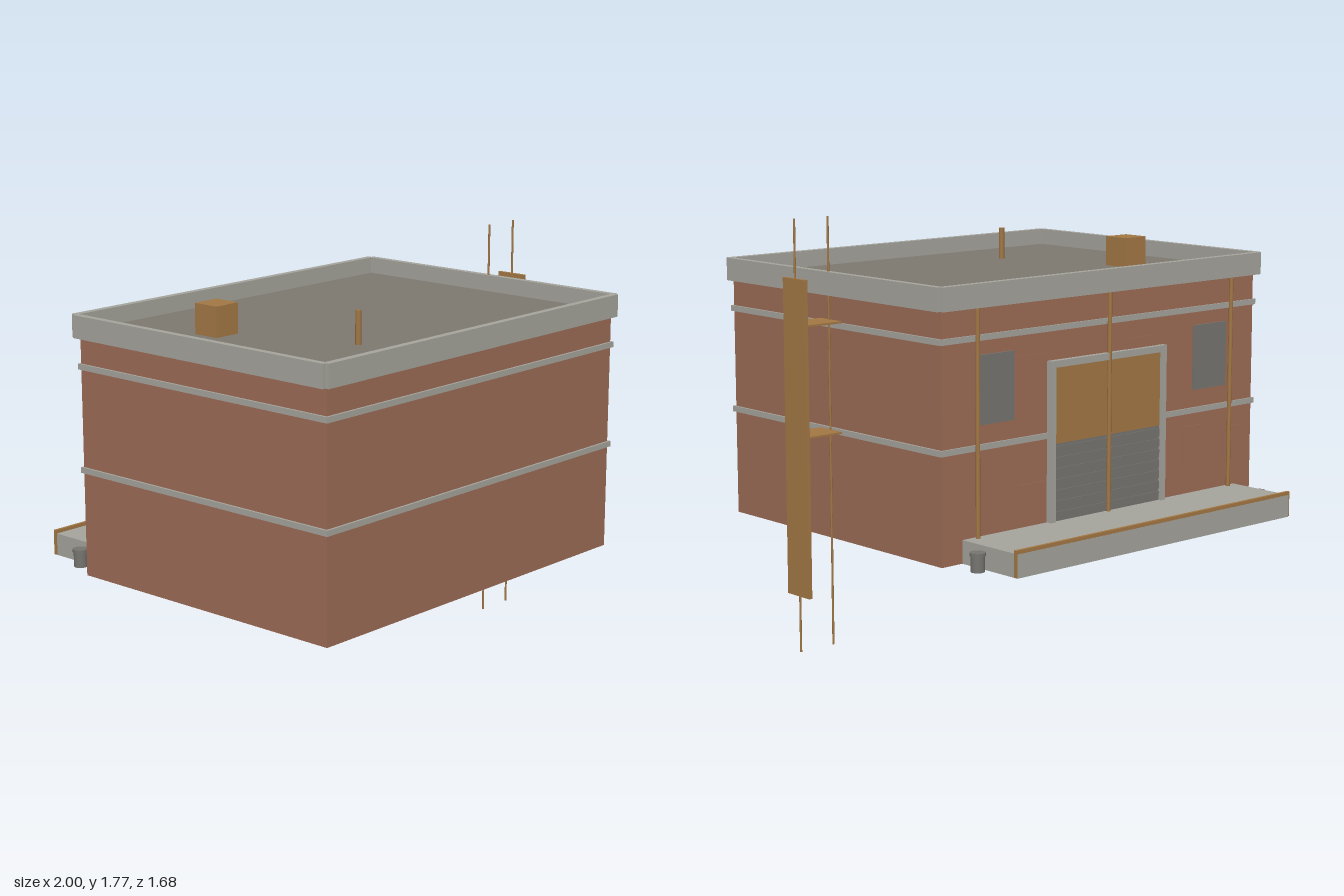
import * as THREE from 'three';

export function createModel() {
  const model = new THREE.Group();
  const mat = (name, color) => {
    const m = new THREE.MeshStandardMaterial({ color });
    m.name = name;
    return m;
  };
  const brick = mat('brick', 0x9c6b55);
  const concrete = mat('concrete', 0xa4a39b);
  const roofing = mat('roofing', 0x7d786f);
  const rust = mat('rust', 0xa27744);
  const steel = mat('steel', 0x75746f);

  const add = (name, geometry, material, x, y, z) => {
    const mesh = new THREE.Mesh(geometry, material);
    mesh.name = name;
    mesh.position.set(x, y, z);
    model.add(mesh);
    return mesh;
  };
  // Box given by its limits on each axis
  const box = (name, material, [x0, x1], [y0, y1], [z0, z1]) =>
    add(name, new THREE.BoxGeometry(x1 - x0, y1 - y0, z1 - z0), material,
      (x0 + x1) / 2, (y0 + y1) / 2, (z0 + z1) / 2);
  // Upright cylinder
  const rod = (name, material, r, x, z, y0, y1, sides = 8) =>
    add(name, new THREE.CylinderGeometry(r, r, y1 - y0, sides), material, x, (y0 + y1) / 2, z);

  // Main block and roof surface
  box('walls', brick, [-0.97, 0.81], [0.445, 1.465], [-0.525, 0.815]);
  box('roof', roofing, [-0.972, 0.812], [1.455, 1.475], [-0.527, 0.812]);

  // Parapet with stepped corners
  const parapetY = [1.45, 1.545];
  box('parapetFront', concrete, [-0.985, 0.825], parapetY, [0.808, 0.838]);
  box('parapetBack', concrete, [-0.985, 0.825], parapetY, [-0.556, -0.526]);
  box('parapetRight', concrete, [-1, -0.971], parapetY, [-0.537, 0.822]);
  box('parapetLeft', concrete, [0.81, 0.839], parapetY, [-0.537, 0.822]);

  // Horizontal bands around the walls
  for (const y of [0.897, 1.33]) {
    box('band', concrete, [-0.98, 0.82], [y - 0.012, y + 0.012], [-0.533, 0.825]);
  }

  // Roof fittings
  box('roofBox', rust, [-0.7, -0.578], [1.47, 1.602], [-0.14, -0.02]);
  rod('roofPipe', rust, 0.012, -0.415, 0.478, 1.47, 1.613);

  // Loading platform at the back with a raised edge
  box('platform', concrete, [-0.865, 0.705], [0.445, 0.54], [-0.844, -0.52]);
  box('platformEdge', rust, [-0.87, 0.71], [0.447, 0.555], [-0.8435, -0.83]);

  // Barrels with a wider rim, one at each end of the platform
  for (const [x, z] of [[-0.905, -0.638], [0.745, -0.66]]) {
    rod('barrel', steel, 0.028, x, z, 0.445, 0.51, 16);
    rod('barrelRim', steel, 0.032, x, z, 0.508, 0.522, 16);
  }

  // Gate: frame, upper panel and slatted shutter
  const cx = -0.08;
  for (const s of [-1, 1]) {
    const x = cx + s * 0.318;
    box('gatePost', concrete, [x - 0.014, x + 0.014], [0.54, 1.2], [-0.55, -0.52]);
  }
  box('gateLintel', concrete, [cx - 0.332, cx + 0.332], [1.172, 1.2], [-0.55, -0.52]);
  box('gatePanel', rust, [cx - 0.304, cx + 0.304], [0.86, 1.172], [-0.539, -0.52]);
  box('shutter', steel, [cx - 0.304, cx + 0.304], [0.54, 0.86], [-0.536, -0.52]);
  for (let i = 0; i < 7; i++) {
    const y = 0.545 + i * 0.045;
    box('shutterSlat', steel, [cx - 0.304, cx + 0.304], [y, y + 0.034], [-0.54, -0.53]);
  }

  // Windows and downpipes on the back wall
  for (const s of [-1, 1]) {
    const x = cx + s * 0.615;
    box('window', steel, [x - 0.1, x + 0.1], [0.985, 1.262], [-0.533, -0.52]);
  }
  for (const x of [cx - 0.73, cx, cx + 0.72]) {
    rod('downpipe', rust, 0.009, x, -0.545, 0.54, 1.452);
  }

  // Slightly raised brick patches on the back wall
  for (const [x, y, w, h] of [
    [0.36, 1.19, 0.18, 0.09], [-0.28, 1.2, 0.17, 0.09],
    [0.34, 0.68, 0.14, 0.07], [-0.6, 0.75, 0.11, 0.16], [-0.85, 0.73, 0.1, 0.14],
  ]) {
    box('brickPatch', brick, [x - w / 2, x + w / 2], [y - h / 2, y + h / 2], [-0.528, -0.52]);
  }

  // Sign tower at the left side: two poles, upright board and two shelves
  for (const x of [0.825, 0.992]) rod('pole', rust, 0.0045, x, 0.146, 0, 1.767);
  box('uprightBoard', rust, [0.984, 1], [0.235, 1.53], [0.076, 0.216]);
  for (const y of [0.896, 1.346]) {
    box('shelf', rust, [0.815, 0.986], [y - 0.004, y + 0.004], [0.076, 0.216]);
  }

  return model;
}
